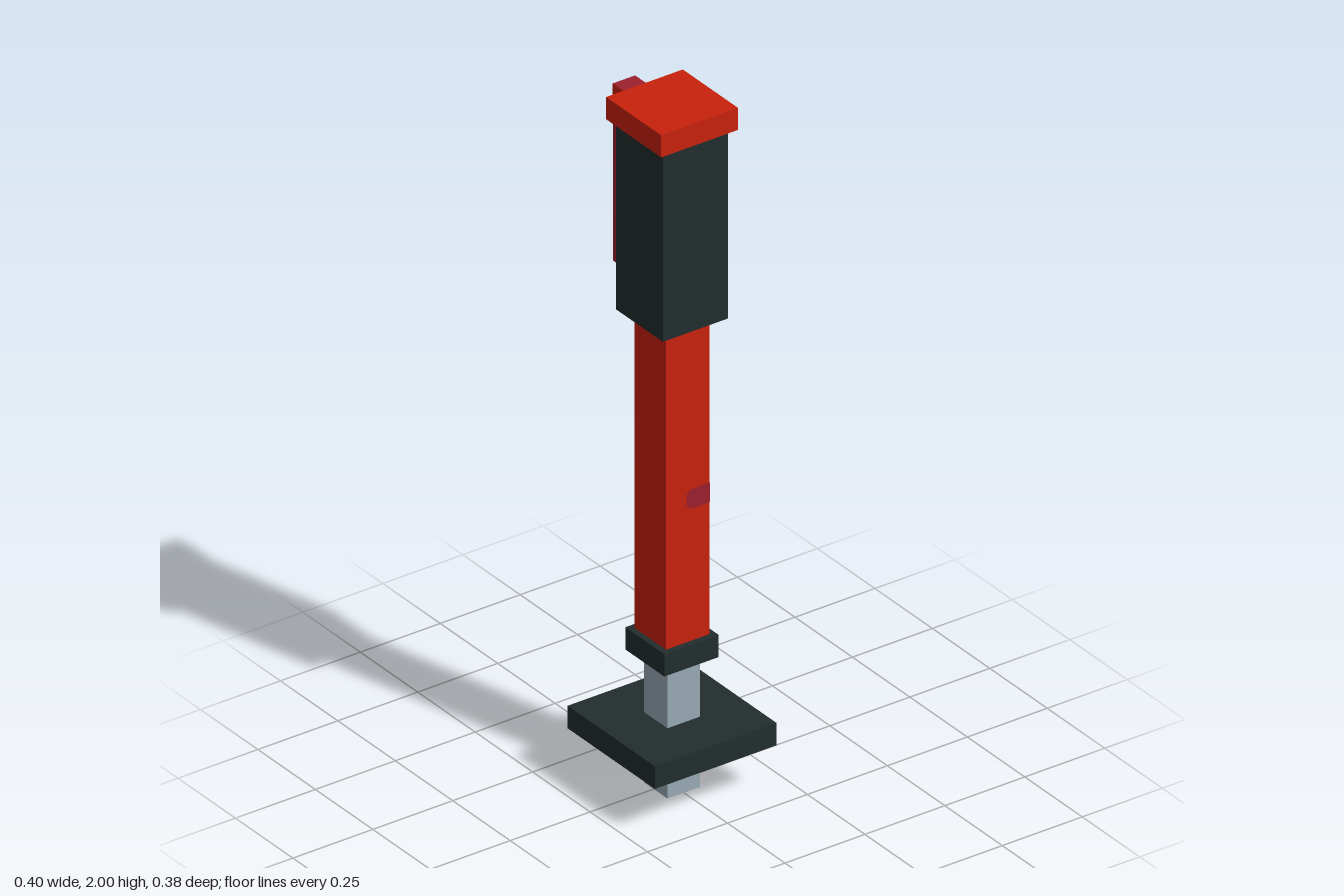
import * as THREE from 'three';

const flat = (name, color) => {
  const m = new THREE.MeshStandardMaterial({ color });
  m.name = name;
  return m;
};

export function createModel() {
  const red = flat('red', 0xc8210d);
  const maroon = flat('maroon', 0x9c202e);
  const charcoal = flat('charcoal', 0x222d2d);
  const steel = flat('steel', 0x98a9b4);

  const model = new THREE.Group();
  model.name = 'handle';
  const axis = 0.0085; // the square stack stands slightly off centre

  // Box given by its limits along each axis
  const box = (name, mat, [x0, x1], [y0, y1], [z0, z1]) => {
    const mesh = new THREE.Mesh(new THREE.BoxGeometry(x1 - x0, y1 - y0, z1 - z0), mat);
    mesh.position.set((x0 + x1) / 2, (y0 + y1) / 2, (z0 + z1) / 2);
    mesh.name = name;
    model.add(mesh);
  };

  // Square stack: name, material, half width, bottom, top
  const stack = [
    ['rod', steel, 0.051, 0, 0.39],
    ['basePlate', charcoal, 0.19, 0.14, 0.206],
    ['collar', charcoal, 0.085, 0.385, 0.45],
    ['shaft', red, 0.068, 0.45, 1.38],
    ['grip', charcoal, 0.102, 1.38, 1.935],
    ['cap', red, 0.12, 1.935, 2],
  ];
  for (const [name, mat, h, y0, y1] of stack) {
    box(name, mat, [axis - h, axis + h], [y0, y1], [-h, h]);
  }

  // Side bar, with red strips on the front and back of its top end
  box('sideBar', maroon, [-0.2, -0.09], [1.45, 1.97], [-0.034, 0.034]);
  for (const s of [-1, 1]) {
    box('sideBarStrip', red, [-0.2, -0.09], [1.937, 1.969], [s * 0.0345 - 0.001, s * 0.0345 + 0.001]);
  }

  // Painted band across the back of the shaft, wrapping round both sides
  const h = 0.068, e = 0.001, y0 = 0.837, y1 = 0.895;
  box('backBand', maroon, [axis - h - e, axis + h + e], [y0, y1], [-h - e, -h + e]);
  const end = new THREE.Shape([
    [0, y0], [0.058, y0], [0.072, y0 + 0.014], [0.072, y1 - 0.014], [0.058, y1], [0, y1],
  ].map(([x, y]) => new THREE.Vector2(x, y)));
  const endGeometry = new THREE.ExtrudeGeometry(end, { depth: 2 * e, bevelEnabled: false });
  for (const s of [-1, 1]) {
    const mesh = new THREE.Mesh(endGeometry, maroon);
    mesh.rotation.y = -Math.PI / 2;
    mesh.position.set(axis + s * h + e, 0, -h);
    mesh.name = s > 0 ? 'leftBandEnd' : 'rightBandEnd';
    model.add(mesh);
  }

  return model;
}
